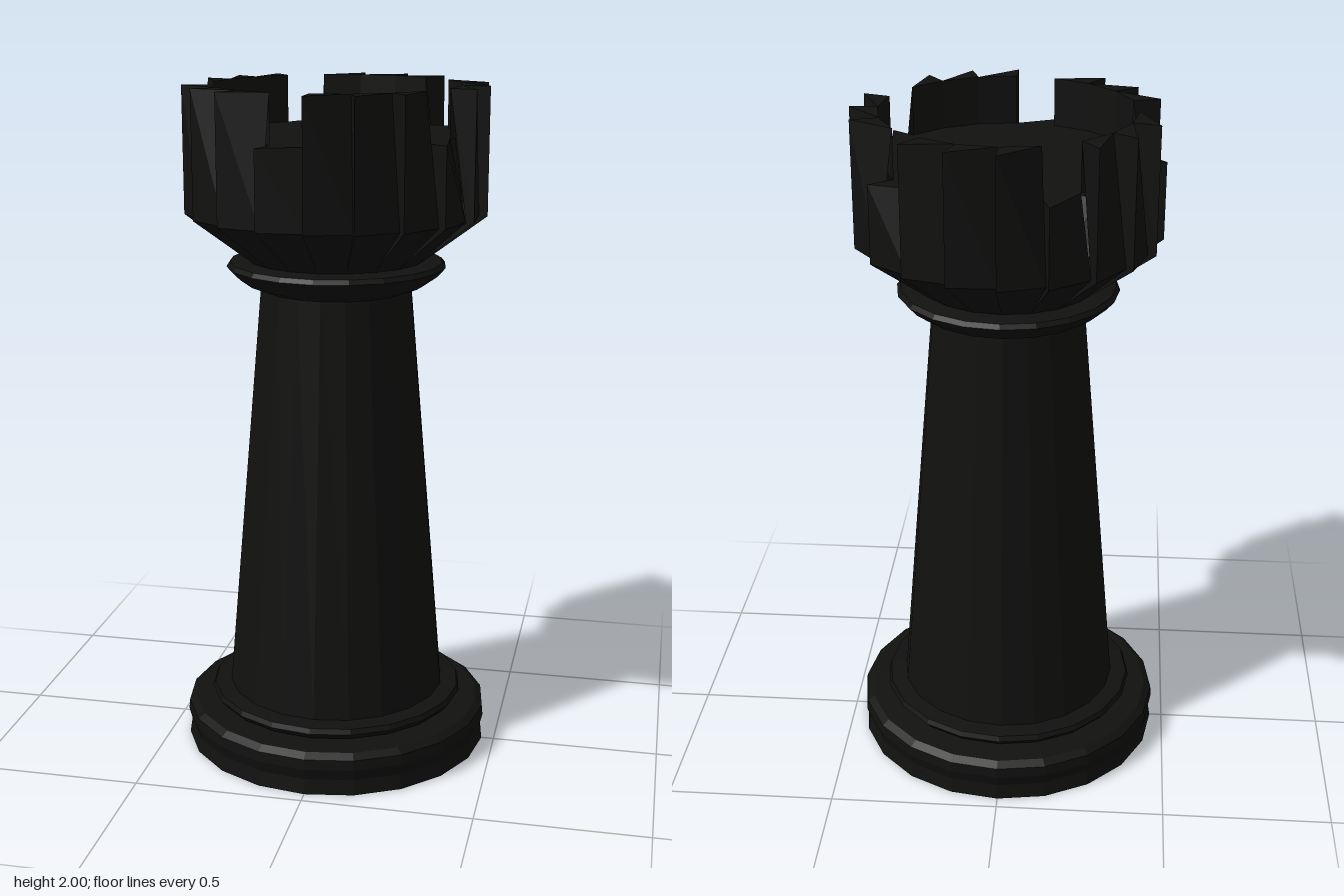
import * as THREE from 'three';

const SIDES = 20;
const material = new THREE.MeshStandardMaterial({
  color: 0x111110, flatShading: true, side: THREE.DoubleSide,
});

function turned(name, profile) {
  const points = profile.map(([r, y]) => new THREE.Vector2(r, y));
  const mesh = new THREE.Mesh(new THREE.LatheGeometry(points, SIDES), material);
  mesh.name = name;
  return mesh;
}

// Battlement ring: each segment twists from the inner radius to the outer one,
// and every fourth segment is cut down to form a notch
function battlements() {
  const TOP = 2, FLOOR = 1.86, OUTER = 0.44, INNER = 0.36;
  const pos = [];
  const at = (r, a, y) => [r * Math.cos(a), y, r * Math.sin(a)];
  const tri = (a, b, c) => pos.push(...a, ...b, ...c);
  const quad = (a, b, c, d) => { tri(a, b, c); tri(a, c, d); };
  const isNotch = (i) => (i + SIDES) % 4 === 1;

  for (let i = 0; i < SIDES; i++) {
    const a = (i / SIDES) * Math.PI * 2, b = ((i + 1) / SIDES) * Math.PI * 2;
    const top = isNotch(i) ? FLOOR : TOP;
    const neckA = at(0.26, a, 1.5), neckB = at(0.26, b, 1.5);
    const lowA = at(0.415, a, 1.635), lowB = at(OUTER, b, 1.635);
    const topA = at(INNER, a, top), topB = at(OUTER, b, top);
    const innerB = at(INNER, b, top);

    // Flared underside and folded outer wall
    quad(neckB, neckA, lowA, lowB);
    tri(lowB, lowA, topB);
    tri(lowA, topA, topB);
    // Rim and inner wall
    tri(topA, innerB, topB);
    if (top > FLOOR) quad(topA, at(INNER, a, FLOOR), at(INNER, b, FLOOR), innerB);
    // Step to the next segment
    tri(neckB, lowB, at(0.415, b, 1.635));
    quad(lowB, topB, innerB, at(0.415, b, 1.635));
    // Floor
    tri(at(INNER, a, FLOOR), [0, FLOOR - 0.01, 0], at(INNER, b, FLOOR));
  }
  const geometry = new THREE.BufferGeometry();
  geometry.setAttribute('position', new THREE.Float32BufferAttribute(pos, 3));
  geometry.computeVertexNormals();
  const mesh = new THREE.Mesh(geometry, material);
  mesh.name = 'battlements';
  return mesh;
}

export function createModel() {
  const model = new THREE.Group();
  model.name = 'rook';
  model.add(
    turned('base', [
      [0, 0], [0.462, 0], [0.455, 0.045], [0.464, 0.08],
      [0.461, 0.11], [0.44, 0.125], [0.36, 0.13], [0, 0.13],
    ]),
    turned('baseRing', [
      [0.35, 0.125], [0.37, 0.135], [0.387, 0.155], [0.38, 0.17], [0.32, 0.175],
    ]),
    turned('shaft', [[0.33, 0.17], [0.222, 1.42]]),
    turned('collar', [
      [0.215, 1.41], [0.265, 1.43], [0.3, 1.455], [0.322, 1.48],
      [0.312, 1.493], [0.26, 1.5], [0, 1.5],
    ]),
    battlements(),
  );
  return model;
}
